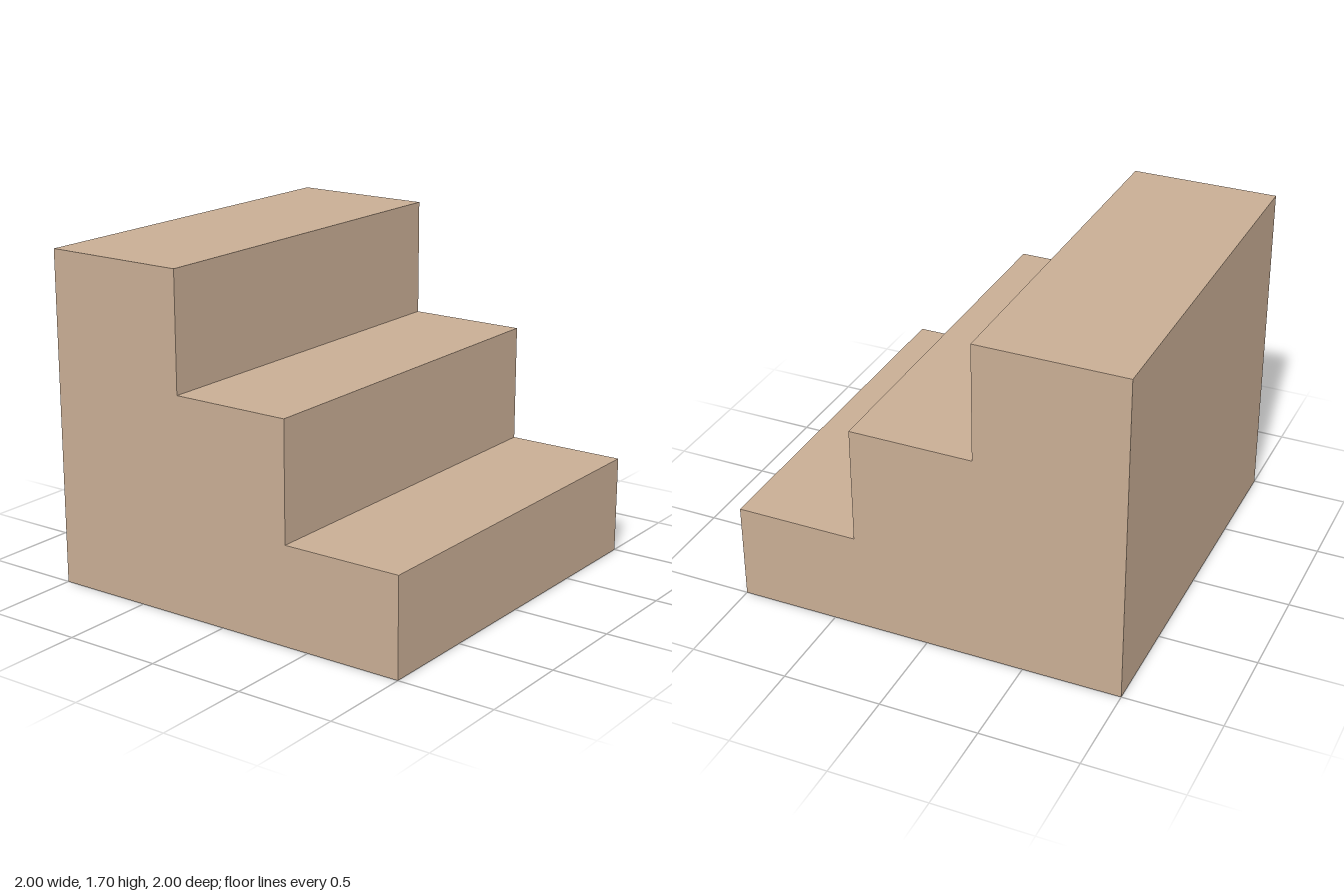
import * as THREE from 'three';

const WIDTH = 2;
const BACK = -1;
// Each step: z of its riser and height of its tread, from front to back
const STEPS = [
  { z: 1, y: 0.5 },
  { z: 0.375, y: 1.1 },
  { z: -0.25, y: 1.7 },
];

// Side outline of the stairs, drawn with z across and y up
function stairProfile() {
  const shape = new THREE.Shape();
  shape.moveTo(BACK, 0);
  shape.lineTo(STEPS[0].z, 0);
  STEPS.forEach(({ z, y }, i) => {
    const treadEnd = i + 1 < STEPS.length ? STEPS[i + 1].z : BACK;
    shape.lineTo(z, y);
    shape.lineTo(treadEnd, y);
  });
  shape.closePath();
  return shape;
}

export function createModel() {
  const group = new THREE.Group();
  group.name = 'stairs';

  // One solid block of steps, extruded across the width
  const geometry = new THREE.ExtrudeGeometry(stairProfile(), { depth: WIDTH, bevelEnabled: false });
  geometry.rotateY(-Math.PI / 2);
  geometry.translate(WIDTH / 2, 0, 0);

  const steps = new THREE.Mesh(geometry, new THREE.MeshStandardMaterial({ color: 0xc8ad94 }));
  steps.name = 'steps';
  group.add(steps);
  return group;
}
